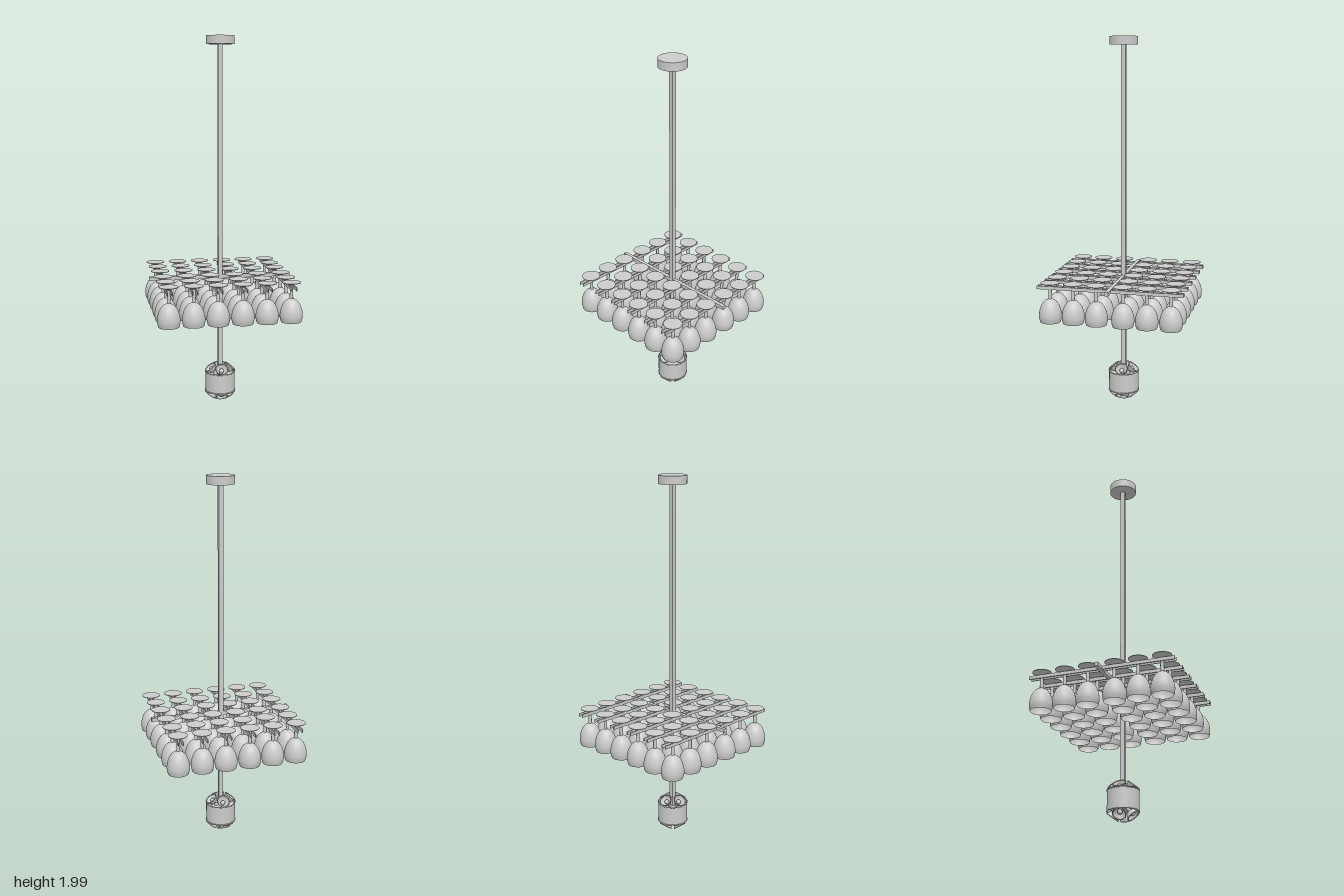
import * as THREE from 'three';

const grey = new THREE.MeshStandardMaterial({ color: 0xcccccc });
const greyThin = new THREE.MeshStandardMaterial({ color: 0xcccccc, side: THREE.DoubleSide });

function add(parent, name, geometry, x = 0, y = 0, z = 0, material = grey) {
  const mesh = new THREE.Mesh(geometry, material);
  mesh.name = name;
  mesh.position.set(x, y, z);
  parent.add(mesh);
  return mesh;
}

const profile = (pairs) => pairs.map(([r, y]) => new THREE.Vector2(r, y));

export function createModel() {
  const model = new THREE.Group();
  model.name = 'hangingGlassRack';

  // Ceiling mount and long square rod
  add(model, 'ceilingMount', new THREE.CylinderGeometry(0.075, 0.075, 0.045, 48), 0, 1.9775, 0);
  add(model, 'rod', new THREE.BoxGeometry(0.024, 1.82, 0.024), 0, 1.05, 0);

  // Rack: one cross bar carrying six pairs of rails
  const columns = [-0.322, -0.193, -0.065, 0.065, 0.193, 0.322];
  const rows = [-0.324, -0.197, -0.071, 0.071, 0.196, 0.321];
  add(model, 'crossBar', new THREE.BoxGeometry(0.78, 0.02, 0.02), 0, 0.705, 0);
  const railGeometry = new THREE.BoxGeometry(0.005, 0.018, 0.78);
  for (const x of columns) {
    for (const side of [-1, 1]) add(model, 'rail', railGeometry, x + side * 0.0125, 0.705, 0);
  }

  // Upside-down wine glasses: open bowl, stem, flared foot
  const bowlCurve = new THREE.SplineCurve(profile([
    [0.054, 0.52], [0.059, 0.54], [0.06, 0.56], [0.056, 0.585],
    [0.046, 0.612], [0.03, 0.633], [0.009, 0.645],
  ]));
  const bowl = new THREE.LatheGeometry(bowlCurve.getPoints(16), 32);
  const stem = new THREE.CylinderGeometry(0.009, 0.009, 0.08, 16, 1, true);
  const footUnder = new THREE.LatheGeometry(
    profile([[0.009, 0.714], [0.016, 0.718], [0.032, 0.724], [0.05, 0.728]]), 32);
  const footTop = new THREE.CylinderGeometry(0.05, 0.05, 0.003, 32);
  for (const x of columns) {
    for (const z of rows) {
      const glass = new THREE.Group();
      glass.name = 'wineGlass';
      glass.position.set(x, 0, z);
      add(glass, 'bowl', bowl, 0, 0, 0, greyThin);
      add(glass, 'stem', stem, 0, 0.682, 0);
      add(glass, 'footUnderside', footUnder, 0, 0, 0, greyThin);
      add(glass, 'footDisc', footTop, 0, 0.7295, 0);
      model.add(glass);
    }
  }

  // Lamp: drum with four tilted spotlights above and four below
  const lamp = new THREE.Group();
  lamp.name = 'lamp';
  lamp.position.y = 0.112;
  model.add(lamp);
  add(lamp, 'drum', new THREE.CylinderGeometry(0.082, 0.082, 0.11, 48, 1, true), 0, 0, 0, greyThin);
  add(lamp, 'core', new THREE.CylinderGeometry(0.08, 0.08, 0.07, 48));

  const cup = new THREE.LatheGeometry(
    profile([[0.008, -0.034], [0.02, -0.027], [0.03, -0.013], [0.035, 0]]), 28);
  const ring = new THREE.TorusGeometry(0.034, 0.0025, 8, 28).rotateX(Math.PI / 2);
  const bulb = new THREE.SphereGeometry(0.013, 18, 12);
  const lip = new THREE.TorusGeometry(0.082, 0.003, 8, 48).rotateX(Math.PI / 2);
  for (const end of [1, -1]) {
    const cluster = new THREE.Group();
    cluster.name = end > 0 ? 'upperSpots' : 'lowerSpots';
    if (end < 0) cluster.rotation.x = Math.PI;
    lamp.add(cluster);
    add(cluster, 'drumLip', lip, 0, 0.054, 0);
    for (let i = 0; i < 4; i++) {
      const arm = new THREE.Group();
      arm.name = 'spotMount';
      arm.rotation.y = i * Math.PI / 2;
      const spot = new THREE.Group();
      spot.name = 'spotlight';
      spot.position.set(0.056, 0.079, 0);
      spot.rotation.z = -0.66;
      add(spot, 'reflector', cup, 0, 0, 0, greyThin);
      add(spot, 'rim', ring);
      add(spot, 'bulb', bulb, 0, -0.015, 0);
      add(spot, 'socket', new THREE.CylinderGeometry(0.009, 0.009, 0.03, 14), 0, -0.04, 0);
      arm.add(spot);
      cluster.add(arm);
    }
  }
  return model;
}
